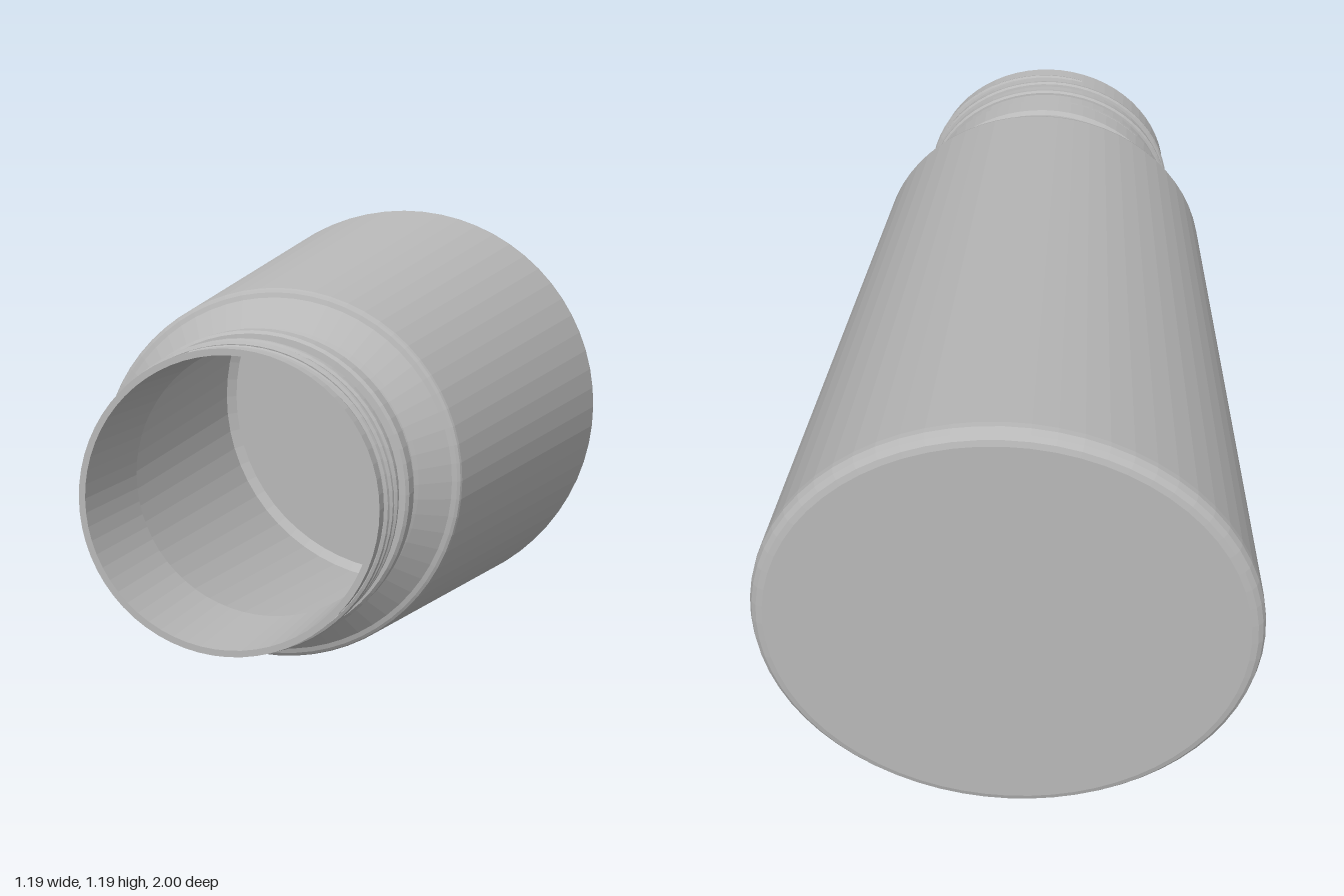
import * as THREE from 'three';

const SIDES = 64;
const AXIS_Y = 0.6;

// Helical ridge around the neck, sinking into the wall at both ends
class ThreadCurve extends THREE.Curve {
  constructor(radius, turns, zStart, pitch) {
    super();
    Object.assign(this, { radius, turns, zStart, pitch });
  }
  getPoint(t, target = new THREE.Vector3()) {
    const angle = -0.28 + t * this.turns * Math.PI * 2;
    const fade = Math.min(1, Math.min(t, 1 - t) * 16);
    const r = this.radius - 0.009 * (1 - fade);
    return target.set(r * Math.sin(angle), r * Math.cos(angle), this.zStart - this.pitch * t * this.turns);
  }
}

export function createModel() {
  const model = new THREE.Group();
  const grey = new THREE.MeshStandardMaterial({ color: 0xb8b8b8 });
  grey.name = 'plain grey';
  grey.flatShading = true;
  grey.side = THREE.DoubleSide;

  // Hollow body: radius and position along the axis, outside first, then the inside
  const profile = [
    [0, -1], [0.565, -1], [0.58, -0.996], [0.591, -0.986], [0.597, -0.97], [0.597, -0.955],
    [0.452, 0.553], [0.449, 0.561], [0.442, 0.566], [0.43, 0.57],
    [0.362, 0.633], [0.352, 0.641], [0.347, 0.65],
    [0.347, 0.712], [0.36, 0.716], [0.369, 0.727], [0.369, 0.78], [0.362, 0.788], [0.347, 0.79],
    [0.347, 1], [0.332, 1],
    [0.332, 0.645], [0.42, 0.555], [0.575, -0.95], [0.55, -0.975], [0, -0.975],
  ].map(([r, z]) => new THREE.Vector2(r, z));
  const body = new THREE.Mesh(new THREE.LatheGeometry(profile, SIDES), grey);
  body.name = 'bottleBody';
  body.rotation.x = Math.PI / 2;
  body.position.y = AXIS_Y;
  model.add(body);

  // Screw thread on the neck
  const path = new ThreadCurve(0.348, 3.05, 0.959, 0.048);
  const thread = new THREE.Mesh(new THREE.TubeGeometry(path, 200, 0.01, 8, false), grey);
  thread.name = 'screwThread';
  thread.position.y = AXIS_Y;
  model.add(thread);

  return model;
}
